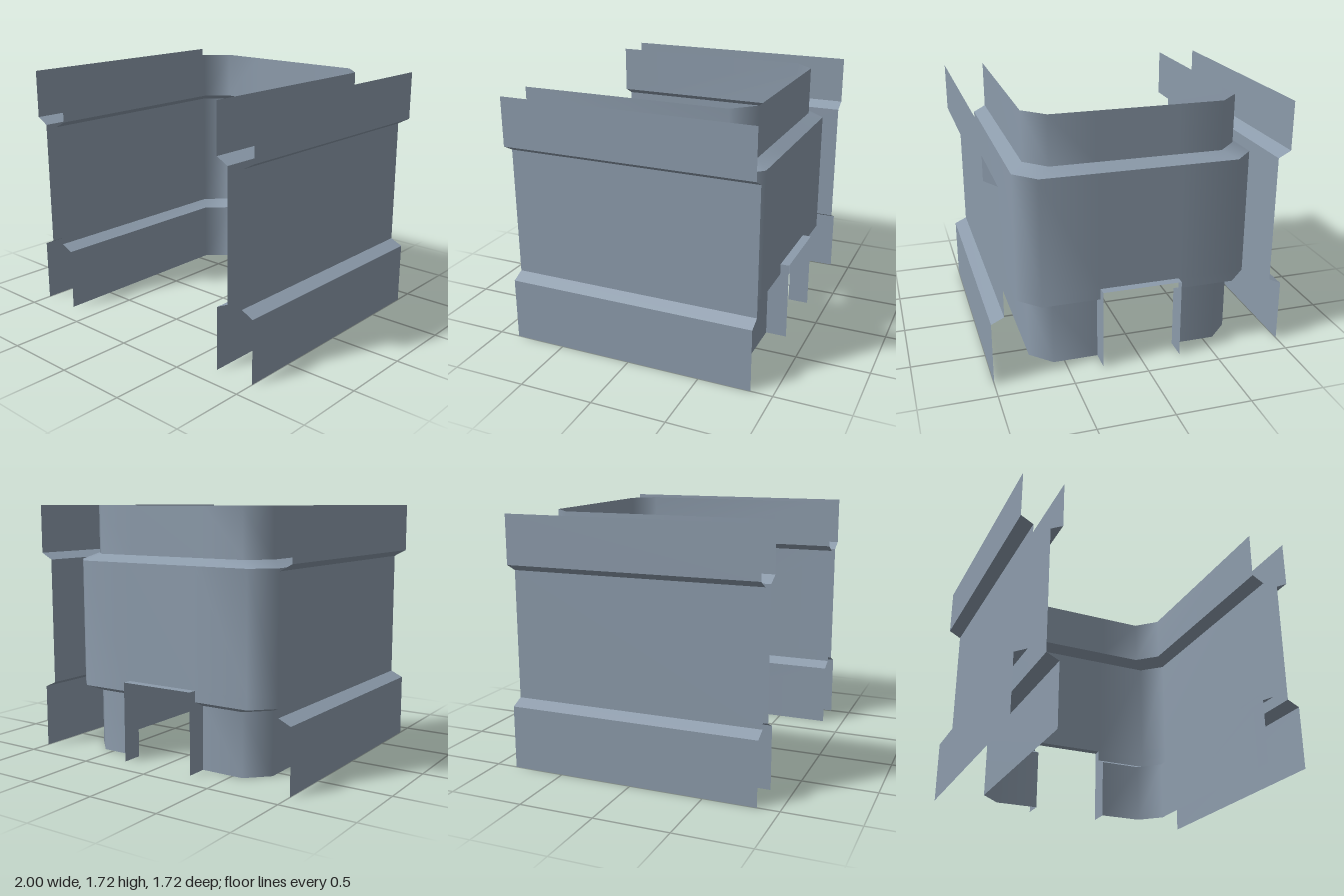
import * as THREE from 'three';

const HEIGHT = 1.715, FRONT = 0.855, BACK = -0.86;
const DOOR = 0.27, DOOR_TOP = 0.545;
const NARROW = 0.715, WIDE = 0.8; // half widths of the inner wall
const LOW = [0.43, 0.47], HIGH = [1.34, 1.385]; // heights of the sloped ledges

// Plan of the U-shaped wall, with chamfered back corners
function plan(r) {
  const c = 0.14;
  const half = [[r, FRONT], [r, c - r], [r - c, -r], [DOOR, -r]];
  return [...half, ...half.map(([x, z]) => [-x, z]).reverse()];
}

// Sheet lofted between rows { y, path }; cells chosen by skip stay open
function loft(rows, skip = () => false) {
  const n = rows[0].path.length, pos = [], index = [];
  for (const { y, path } of rows) for (const [x, z] of path) pos.push(x, y, z);
  for (let j = 0; j < rows.length - 1; j++) {
    for (let i = 0; i < n - 1; i++) {
      if (skip(i, j)) continue;
      const a = j * n + i, b = a + n;
      index.push(a, a + 1, b, a + 1, b + 1, b);
    }
  }
  const g = new THREE.BufferGeometry();
  g.setAttribute('position', new THREE.Float32BufferAttribute(pos, 3));
  g.setIndex(index);
  g.computeVertexNormals();
  return g;
}

export function createModel() {
  const model = new THREE.Group();
  model.name = 'wallShell';
  const wall = new THREE.MeshStandardMaterial({ color: 0x8c9bab, side: THREE.DoubleSide });
  wall.name = 'wallGrey';

  function add(name, geometry) {
    const mesh = new THREE.Mesh(geometry, wall);
    mesh.name = name;
    model.add(mesh);
    return mesh;
  }
  const row = (y, r) => ({ y, path: plan(r) });
  const doorway = (i, j) => i === 3 && j === 0;

  // Inner wall: smooth around the corners, sharp between the bands
  add('innerBase', loft([row(0, NARROW), row(LOW[0], NARROW)], doorway));
  add('innerLowerLedge', loft([row(LOW[0], NARROW), row(LOW[1], WIDE)], doorway));
  add('innerMiddle', loft([row(LOW[1], WIDE), row(DOOR_TOP, WIDE), row(HIGH[0], WIDE)], doorway));
  add('innerUpperLedge', loft([row(HIGH[0], WIDE), row(HIGH[1], NARROW)]));
  add('innerTop', loft([row(HIGH[1], NARROW), row(HEIGHT, NARROW)]));

  // Outer side walls, recessed in the middle
  const profile = [[1, 0], [1, LOW[0]], [0.915, LOW[1]], [0.915, HIGH[0]], [1, HIGH[1]], [1, HEIGHT]];
  const bands = ['Base', 'LowerLedge', 'Middle', 'UpperLedge', 'Top'];
  for (const [side, s] of [['left', 1], ['right', -1]]) {
    bands.forEach((band, i) => {
      const rows = [profile[i], profile[i + 1]].map(([x, y]) => (
        { y, path: [[s * x, s * FRONT], [s * x, -s * FRONT]] }));
      add(side + 'Outer' + band, loft(rows));
    });
  }

  // Door jambs follow the wall profile out to the back plane
  const jamb = new THREE.ShapeGeometry(new THREE.Shape([
    [BACK, 0], [-NARROW, 0], [-NARROW, LOW[0]], [-WIDE, LOW[1]], [-WIDE, DOOR_TOP], [BACK, DOOR_TOP],
  ].map(([z, y]) => new THREE.Vector2(z, y)))).rotateY(-Math.PI / 2);
  add('leftDoorJamb', jamb).position.x = DOOR;
  add('rightDoorJamb', jamb).position.x = -DOOR;

  // Door header
  const header = new THREE.PlaneGeometry(2 * DOOR, -WIDE - BACK).rotateX(-Math.PI / 2);
  add('doorHeader', header).position.set(0, DOOR_TOP, (BACK - WIDE) / 2);

  return model;
}
